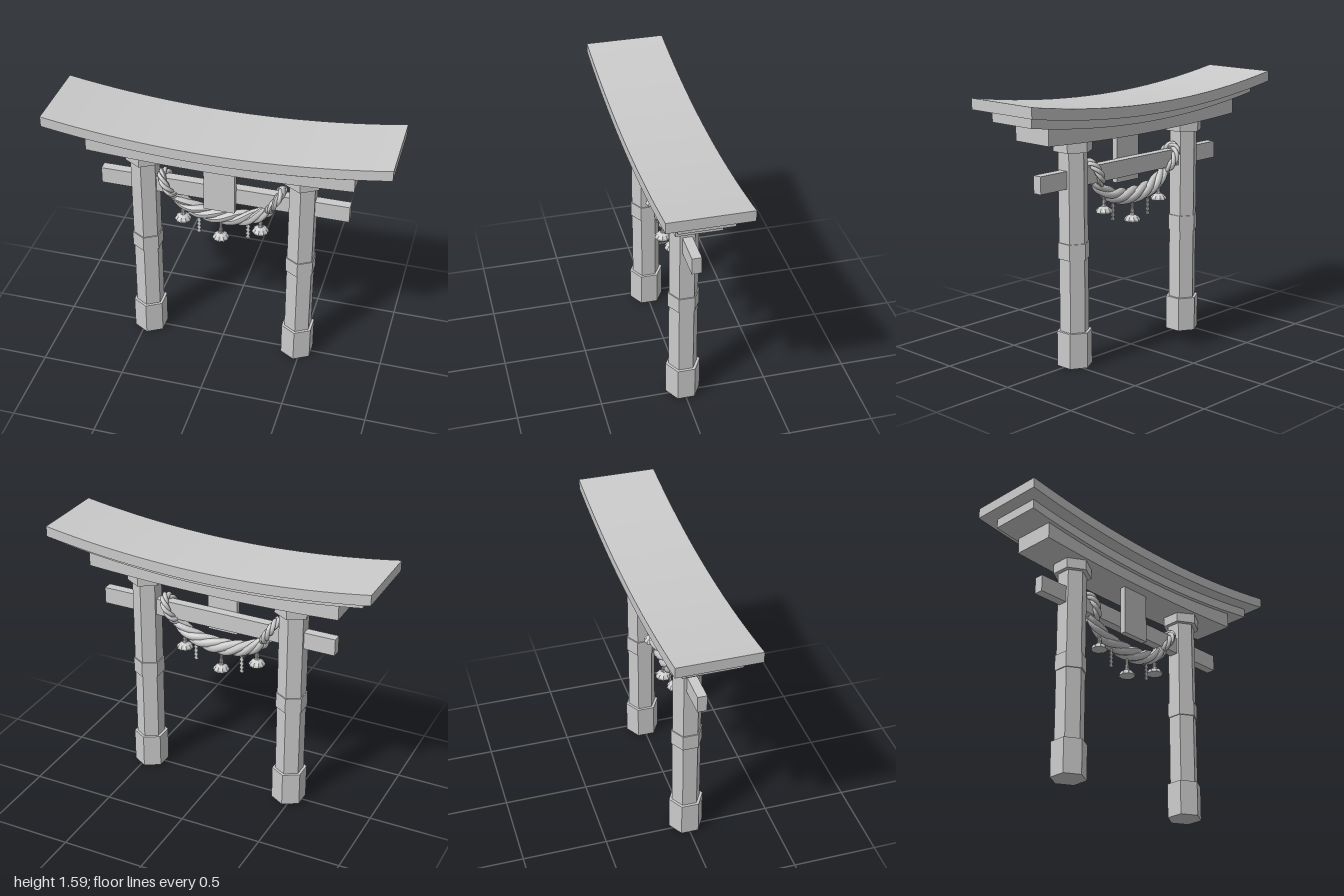
import * as THREE from 'three';

const grey = new THREE.MeshStandardMaterial({ color: 0xcccccc, side: THREE.DoubleSide });
const flat = new THREE.MeshStandardMaterial({ color: 0xcccccc, flatShading: true, side: THREE.DoubleSide });

function add(parent, name, geometry, x = 0, y = 0, z = 0, material = flat) {
  const mesh = new THREE.Mesh(geometry, material);
  mesh.name = name;
  mesh.position.set(x, y, z);
  parent.add(mesh);
  return mesh;
}

// Lintel layer whose top and bottom follow parabolas y = y0 + k x^2
function curvedBeam(halfX, halfZ, bottom, kBottom, top, kTop) {
  const n = 20, shape = new THREE.Shape();
  for (let i = 0; i <= n; i++) {
    const x = -halfX + (2 * halfX * i) / n, y = bottom + kBottom * x * x;
    i ? shape.lineTo(x, y) : shape.moveTo(x, y);
  }
  for (let i = n; i >= 0; i--) {
    const x = -halfX + (2 * halfX * i) / n;
    shape.lineTo(x, top + kTop * x * x);
  }
  const g = new THREE.ExtrudeGeometry(shape, { depth: 2 * halfZ, bevelEnabled: false });
  return g.translate(0, 0, -halfZ);
}

// One strand winding round a planar path; binormal is the normal of the path's plane
class Strand extends THREE.Curve {
  constructor(path, binormal, phase, turns, offset) {
    super();
    Object.assign(this, { path, binormal, phase, turns, offset });
  }
  getPoint(t, target = new THREE.Vector3()) {
    const a = this.phase + t * this.turns * Math.PI * 2, r = this.offset(t);
    const normal = this.path.getTangent(t).cross(this.binormal).normalize();
    return target.copy(this.path.getPoint(t))
      .addScaledVector(normal, r * Math.cos(a))
      .addScaledVector(this.binormal, r * Math.sin(a));
  }
}

// Rope of several strands, each a tube whose thickness varies along its length
function rope(parent, name, path, binormal, strands, turns, radius, segments) {
  const group = new THREE.Group();
  group.name = name;
  const sides = 7, v = new THREE.Vector3(), c = new THREE.Vector3();
  for (let s = 0; s < strands; s++) {
    const curve = new Strand(path, binormal, (s / strands) * Math.PI * 2, turns, radius);
    const g = new THREE.TubeGeometry(curve, segments, 1, sides, false);
    const pos = g.attributes.position;
    for (let i = 0; i < pos.count; i++) {
      const u = Math.floor(i / (sides + 1)) / segments;
      curve.getPointAt(u, c);
      v.fromBufferAttribute(pos, i).sub(c).multiplyScalar(radius(u)).add(c);
      pos.setXYZ(i, v.x, v.y, v.z);
    }
    g.computeVertexNormals();
    add(group, 'strand', g, 0, 0, 0, grey);
  }
  parent.add(group);
}

// Paper streamer: a thin zigzag strip hanging from its top
function streamerGeometry(height) {
  const n = 5, step = height / n, shape = new THREE.Shape();
  shape.moveTo(-0.01, 0);
  for (let i = 0; i < n; i++) {
    shape.lineTo(-0.014, -(i + 0.7) * step);
    shape.lineTo(-0.004, -(i + 1) * step);
  }
  for (let i = n - 1; i >= 0; i--) {
    shape.lineTo(0.014, -(i + 0.75) * step);
    shape.lineTo(0.006, -i * step);
  }
  return new THREE.ExtrudeGeometry(shape, { depth: 0.008, bevelEnabled: false }).translate(0, 0, -0.004);
}

export function createModel() {
  const model = new THREE.Group();
  model.name = 'gateway';

  // Hexagonal pillars: [name, radius, bottom, top]
  const sections = [
    ['shaft', 0.086, 0.1, 1.3],
    ['base', 0.104, 0, 0.21],
    ['band', 0.093, 0.64, 0.735],
    ['capital', 0.114, 1.262, 1.325],
  ];
  for (const x of [-0.471, 0.475]) {
    const pillar = new THREE.Group();
    pillar.name = 'pillar';
    pillar.position.x = x;
    for (const [name, r, y0, y1] of sections)
      add(pillar, name, new THREE.CylinderGeometry(r, r, y1 - y0, 6), 0, (y0 + y1) / 2);
    model.add(pillar);
  }

  // Three stacked curved lintels
  add(model, 'roofBeam', curvedBeam(1, 0.237, 1.443, 0.083, 1.506, 0.083));
  add(model, 'middleLintel', curvedBeam(0.928, 0.155, 1.385, 0.085, 1.446, 0.083));
  add(model, 'lowerLintel', curvedBeam(0.783, 0.13, 1.315, 0.04, 1.388, 0.085));

  // Tie beam and hanging plaque
  add(model, 'tieBeam', new THREE.BoxGeometry(1.484, 0.102, 0.056), 0.008, 1.105, 0.001);
  add(model, 'plaque', new THREE.BoxGeometry(0.186, 0.315, 0.036), -0.007, 1.167, 0.047);

  // Swagged rope, thickest in the middle
  const swag = new THREE.CatmullRomCurve3(
    [[-0.31, 1.06], [-0.27, 1.015], [-0.19, 0.962], [-0.1, 0.936], [0, 0.928],
      [0.1, 0.936], [0.19, 0.962], [0.27, 1.015], [0.31, 1.06]]
      .map(([x, y]) => new THREE.Vector3(x - 0.008, y, 0)));
  rope(model, 'swagRope', swag, new THREE.Vector3(0, 0, 1), 4, 2,
    t => 0.016 + 0.01 * Math.sin(Math.PI * t), 80);

  // Slanted rope loops round the tie beam
  for (const side of [-1, 1]) {
    const points = [];
    for (let i = 0; i < 16; i++) {
      const a = (i / 16) * Math.PI * 2;
      points.push(new THREE.Vector3(
        side * (0.322 + 0.038 * Math.cos(a)) - 0.008, 1.108 + 0.068 * Math.cos(a), 0.055 * Math.sin(a)));
    }
    const loop = new THREE.CatmullRomCurve3(points, true);
    const normal = new THREE.Vector3(0.068, -side * 0.038, 0).normalize();
    rope(model, 'ropeLoop', loop, normal, 3, 3, () => 0.013, 64);
  }

  // Tassels with a gathered neck and fluted skirt
  const profile = [[0, 0], [0.05, 0], [0.048, 0.012], [0.036, 0.026], [0.016, 0.037],
    [0.011, 0.048], [0.013, 0.06], [0.009, 0.075], [0.009, 0.12]]
    .map(([r, y]) => new THREE.Vector2(r, y));
  const tassel = new THREE.LatheGeometry(profile, 20);
  const p = tassel.attributes.position;
  for (let i = 0; i < p.count; i++) {
    const column = Math.floor(i / profile.length);
    const k = column % 2 ? 0.9 : 1;
    p.setXYZ(i, p.getX(i) * k, p.getY(i), p.getZ(i) * k);
  }
  for (const [x, y] of [[-0.246, 0.862], [-0.014, 0.77], [0.227, 0.862]])
    add(model, 'tassel', tassel, x, y, 0);

  // Paper streamers
  add(model, 'streamer', streamerGeometry(0.13), -0.148, 0.912, 0);
  add(model, 'streamer', streamerGeometry(0.13), 0.152, 0.927, 0);

  return model;
}
